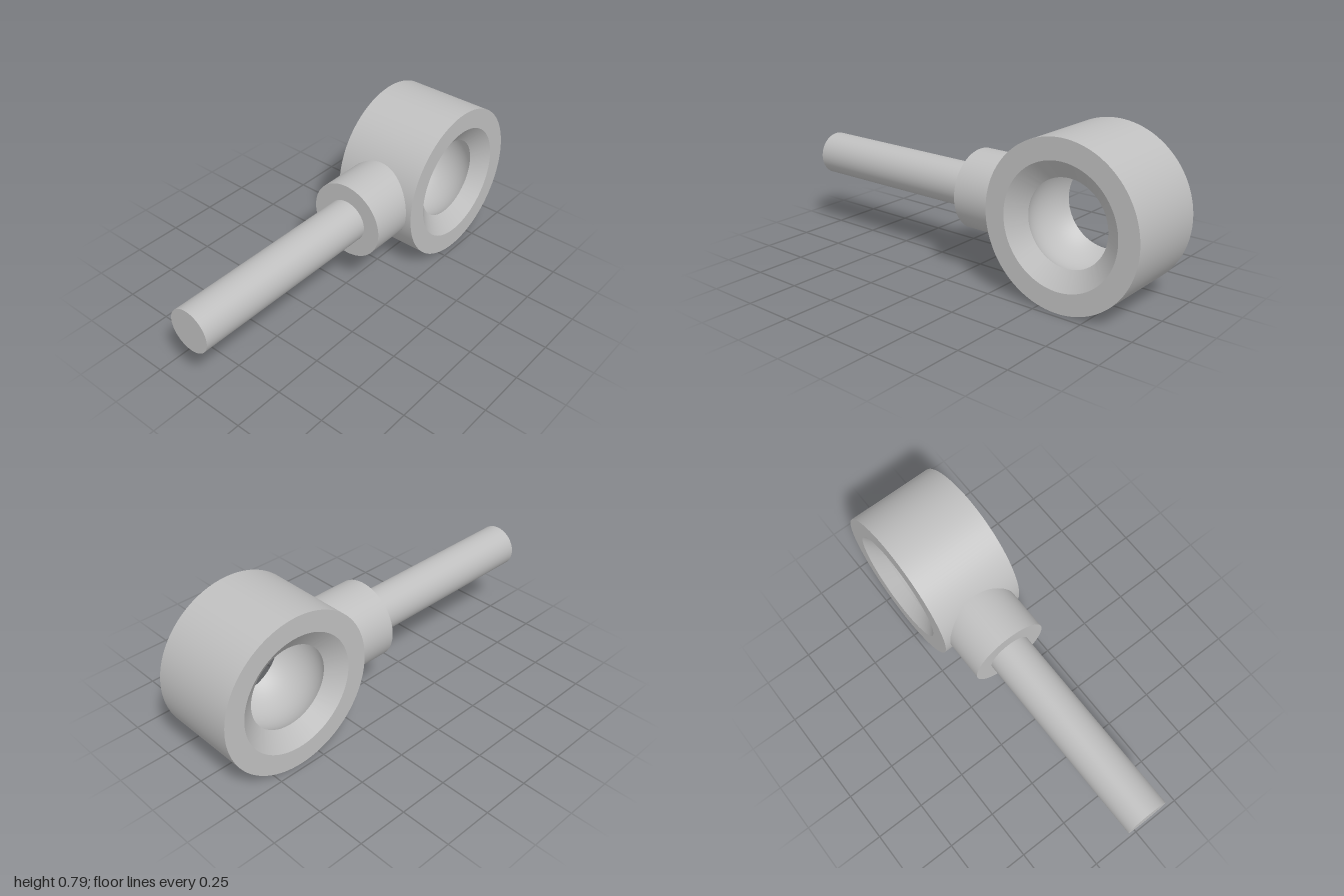
import * as THREE from 'three';
import { toCreasedNormals } from 'three/addons/utils/BufferGeometryUtils.js';

const AXIS_Y = 0.393;   // height of the shank axis and eye centre
const EYE_X = 0.607;    // eye centre
const EYE_R = 0.393;    // eye outer radius
const HALF_W = 0.224;   // half width of the eye
const CHAMFER_R = 0.292;
const BORE_R = 0.205;
const BORE_Z = 0.158;   // where the chamfer meets the spherical seat

export function createModel() {
  const steel = new THREE.MeshStandardMaterial({ color: 0xbfbfbf });
  steel.name = 'steel grey';
  const model = new THREE.Group();
  model.name = 'rodEnd';

  // Eye housing: outer band, flat faces, chamfers and a spherical seat
  const profile = [
    [EYE_R, -HALF_W], [EYE_R, HALF_W], [CHAMFER_R, HALF_W],
  ].map(([r, z]) => new THREE.Vector2(r, z));
  const seatR = Math.hypot(BORE_R, BORE_Z);
  const seatAngle = Math.atan2(BORE_Z, BORE_R);
  const steps = 20;
  for (let i = 0; i <= steps; i++) {
    const a = seatAngle * (1 - (2 * i) / steps);
    profile.push(new THREE.Vector2(seatR * Math.cos(a), seatR * Math.sin(a)));
  }
  profile.push(new THREE.Vector2(CHAMFER_R, -HALF_W), new THREE.Vector2(EYE_R, -HALF_W));
  const eyeGeometry = toCreasedNormals(new THREE.LatheGeometry(profile, 128), 0.4);
  eyeGeometry.rotateX(Math.PI / 2);
  const eye = new THREE.Mesh(eyeGeometry, steel);
  eye.name = 'eyeHousing';
  eye.position.set(EYE_X, AXIS_Y, 0);
  model.add(eye);

  // Cylinders lying along x
  const addBar = (name, radius, x0, x1) => {
    const geometry = new THREE.CylinderGeometry(radius, radius, x1 - x0, 96);
    geometry.rotateZ(Math.PI / 2);
    const bar = new THREE.Mesh(geometry, steel);
    bar.name = name;
    bar.position.set((x0 + x1) / 2, AXIS_Y, 0);
    model.add(bar);
  };
  addBar('collar', 0.195, 0.003, 0.29);
  addBar('shank', 0.108, -1, 0.02);

  return model;
}
